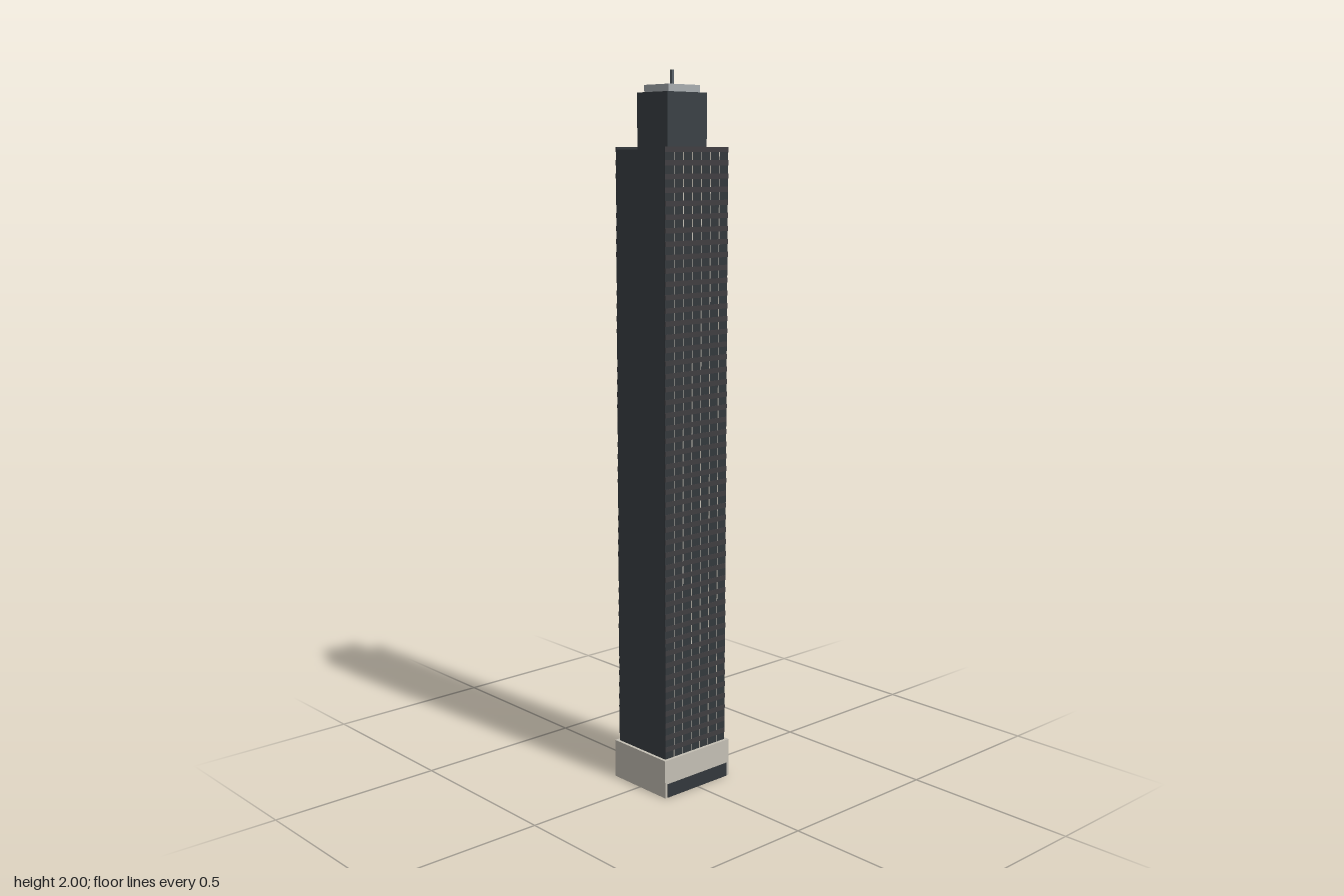
import * as THREE from 'three';

export function createModel() {
  const group = new THREE.Group();
  group.name = 'tower';
  const mat = (color) => new THREE.MeshStandardMaterial({ color });
  const stone = mat(0xc4bfb4), dark = mat(0x3a4045), glass = mat(0x33383c);
  const spandrel = mat(0x403e41), roof = mat(0xa8adb0), metal = mat(0x596168);

  // Box of size w x h x d standing on y, centred on x and z
  const box = (name, w, h, d, x, y, z, material, parent = group) => {
    const mesh = new THREE.Mesh(new THREE.BoxGeometry(w, h, d), material);
    mesh.name = name;
    mesh.position.set(x, y + h / 2, z);
    parent.add(mesh);
    return mesh;
  };

  // Stacked volumes
  box('podium', 0.248, 0.11, 0.216, 0, 0, 0, stone);
  box('shaft', 0.23, 1.68, 0.195, 0, 0.11, 0, dark);
  box('crown', 0.142, 0.15, 0.122, 0, 1.79, 0, dark);
  box('roofCap', 0.113, 0.02, 0.097, 0, 1.94, 0, roof);
  box('mast', 0.008, 0.04, 0.008, 0, 1.96, 0, metal);

  // Facade on front and back: glass, bay mullions and floor bands
  const floors = 48, bays = 7, bottom = 0.11, top = 1.797, width = 0.23;
  const pitch = (top - bottom) / floors;
  for (const side of [1, -1]) {
    const facade = new THREE.Group();
    facade.name = side > 0 ? 'frontFacade' : 'backFacade';
    group.add(facade);
    box('lobbyGlazing', 0.23, 0.04, 0.003, 0, 0, side * 0.1075, glass, facade);
    box('curtainWall', width, top - bottom, 0.002, 0, bottom, side * 0.0975, glass, facade);
    for (let i = 1; i < bays; i++) {
      const x = (i / bays - 0.5) * width;
      box('mullion', 0.002, top - bottom, 0.002, x, bottom, side * 0.0982, stone, facade);
    }
    for (let f = 0; f < floors; f++) {
      const y = bottom + (f + 0.6) * pitch;
      box('floorBand', width, pitch * 0.4, 0.003, 0, y, side * 0.0985, spandrel, facade);
    }
  }
  return group;
}
